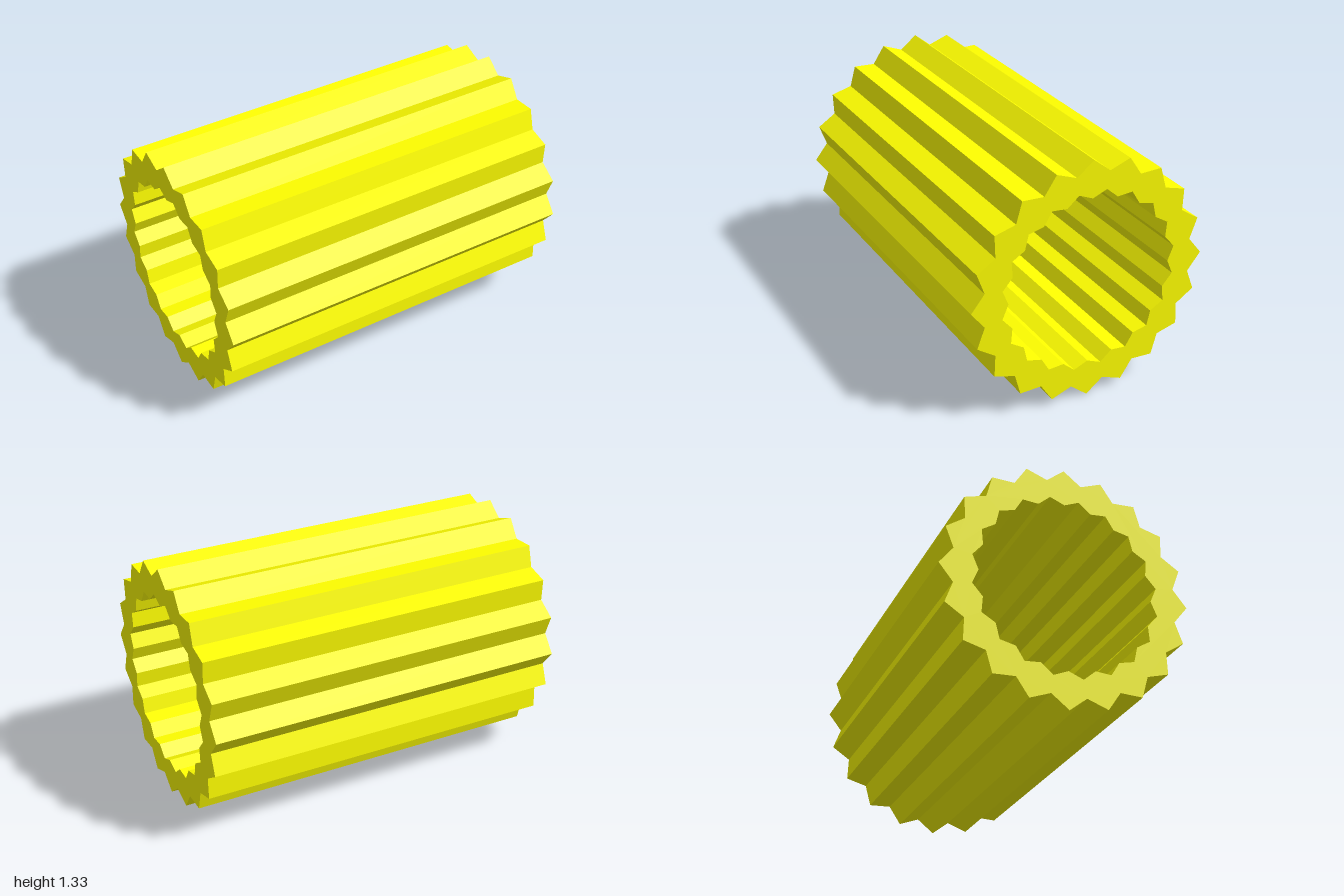
import * as THREE from 'three';

const TEETH = 20;
const LENGTH = 2;
const TIP_RADIUS = 0.667;

// Closed zigzag ring: one radius on the teeth, another between them
function zigzag(toothRadius, gapRadius) {
  const points = [];
  for (let i = 0; i < TEETH * 2; i++) {
    const a = Math.PI / 2 + (i * Math.PI) / TEETH;
    const r = i % 2 === 0 ? toothRadius : gapRadius;
    points.push(new THREE.Vector2(r * Math.cos(a), r * Math.sin(a)));
  }
  return points;
}

export function createModel() {
  const group = new THREE.Group();
  group.name = 'flutedTube';

  // Outer teeth point outward, bore teeth point inward at the same angles
  const section = new THREE.Shape(zigzag(TIP_RADIUS, 0.6));
  section.holes.push(new THREE.Path(zigzag(0.463, 0.502)));

  // Hollow ridged tube lying along x
  const geometry = new THREE.ExtrudeGeometry(section, { depth: LENGTH, bevelEnabled: false });
  geometry.translate(0, 0, -LENGTH / 2);
  geometry.rotateY(Math.PI / 2);
  geometry.translate(0, TIP_RADIUS, 0);

  const material = new THREE.MeshStandardMaterial({ color: 0xffff00, flatShading: true });
  const tube = new THREE.Mesh(geometry, material);
  tube.name = 'ridgedTube';
  group.add(tube);
  return group;
}
